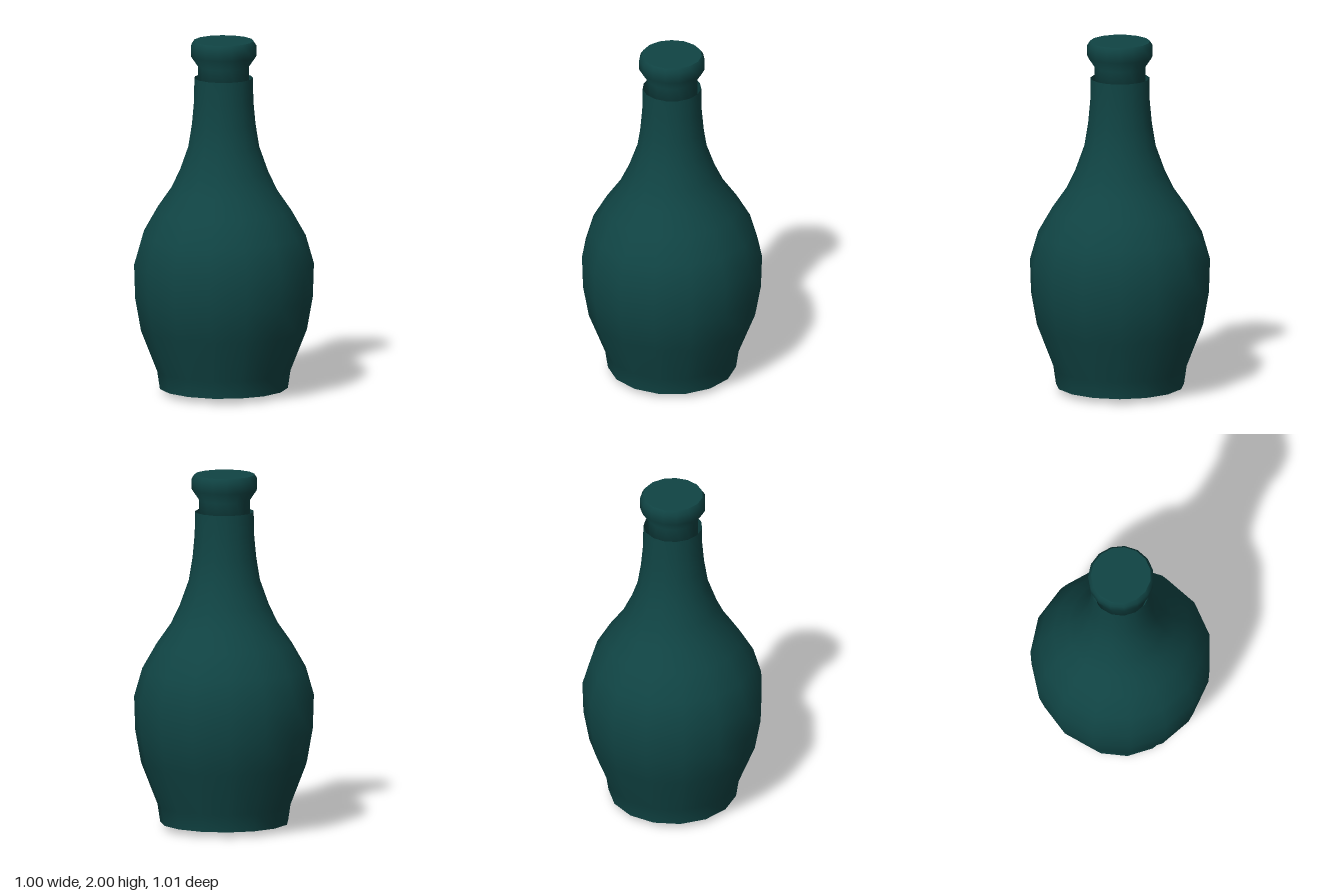
import * as THREE from 'three';

const SIDES = 15;

// Lathe a list of [radius, height] pairs, with one corner pointing to +x
function turned(name, profile, material) {
  const points = profile.map(([r, y]) => new THREE.Vector2(r, y));
  const mesh = new THREE.Mesh(new THREE.LatheGeometry(points, SIDES, Math.PI / 2), material);
  mesh.name = name;
  return mesh;
}

export function createModel() {
  const bottle = new THREE.Group();
  bottle.name = 'bottle';
  const glass = new THREE.MeshStandardMaterial({ color: 0x104444, side: THREE.DoubleSide });

  // Rounded body running up into an open neck
  bottle.add(turned('body', [
    [0.36, 0.03], [0.375, 0.13], [0.467, 0.365], [0.5, 0.55], [0.506, 0.74],
    [0.46, 0.9], [0.38, 1.04], [0.3, 1.155], [0.25, 1.26], [0.2, 1.4],
    [0.179, 1.53], [0.167, 1.66], [0.165, 1.79],
  ], glass));

  // Shallow conical underside, kept apart for a sharp rim
  bottle.add(turned('base', [[0, 0], [0.36, 0.03]], glass));

  // Flared stopper whose stem sits inside the neck
  bottle.add(turned('stopper', [
    [0, 1.68], [0.143, 1.68], [0.143, 1.855], [0.184, 1.915], [0.184, 1.975], [0.168, 2],
  ], glass));
  bottle.add(turned('stopperTop', [[0.168, 2], [0, 2]], glass));

  // An odd number of sides is not symmetric in x, so recentre
  bottle.children.forEach((part) => { part.position.x = -0.0055; });
  return bottle;
}
